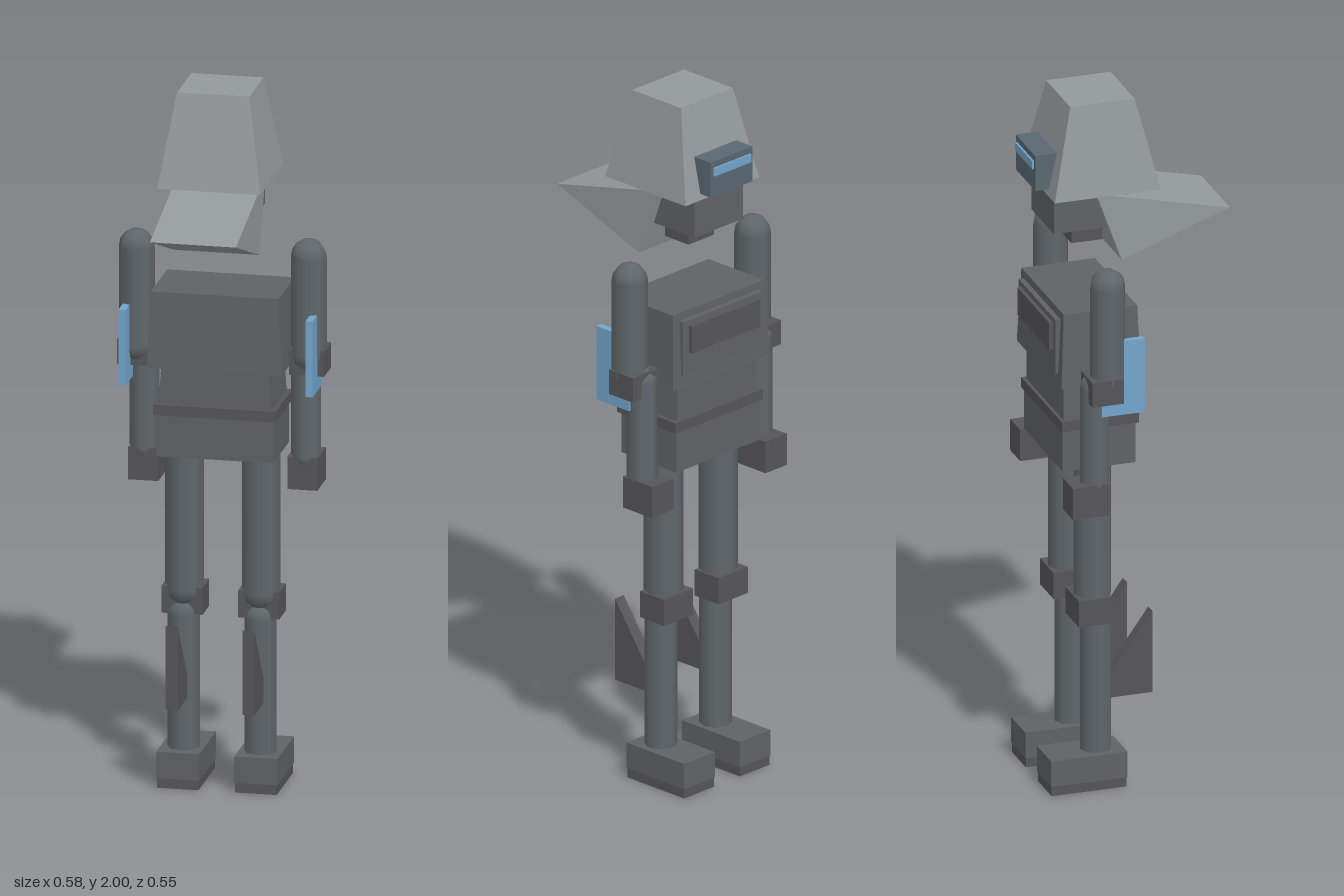
import * as THREE from 'three';

const paint = (color, flatShading = false) => new THREE.MeshStandardMaterial({ color, flatShading });

export function createModel() {
  const model = new THREE.Group();
  const light = paint(0x94999c, true);
  const body = paint(0x5f6265, true);
  const limb = paint(0x5f666a);
  const joint = paint(0x56565a, true);
  const visorMat = paint(0x5a6872, true);
  const blue = paint(0x73a5cc, true);

  const add = (name, geometry, material) => {
    const mesh = new THREE.Mesh(geometry, material);
    mesh.name = name;
    model.add(mesh);
    return mesh;
  };

  // Box given by its limits on each axis
  const box = (name, [x0, x1], [y0, y1], [z0, z1], material) => {
    const g = new THREE.BoxGeometry(x1 - x0, y1 - y0, z1 - z0);
    g.translate((x0 + x1) / 2, (y0 + y1) / 2, (z0 + z1) / 2);
    return add(name, g, material);
  };

  // Centred box whose top has its own width and depth limits
  const taper = (name, [y0, y1], [w0, back0, front0], [w1, back1, front1], material) => {
    const g = new THREE.BoxGeometry(2, 2, 2);
    const p = g.attributes.position;
    for (let i = 0; i < p.count; i++) {
      const up = p.getY(i) > 0;
      const w = up ? w1 : w0;
      const z = p.getZ(i) > 0 ? (up ? front1 : front0) : (up ? back1 : back0);
      p.setXYZ(i, p.getX(i) * w, up ? y1 : y0, z);
    }
    g.computeVertexNormals();
    return add(name, g, material);
  };

  // Side outline of (z, y) points, extruded across x
  const slab = (name, points, x, halfWidth, material) => {
    const shape = new THREE.Shape(points.map(([z, y]) => new THREE.Vector2(z, y)));
    const g = new THREE.ExtrudeGeometry(shape, { depth: halfWidth * 2, bevelEnabled: false });
    g.translate(0, 0, -halfWidth).rotateY(-Math.PI / 2).translate(x, 0, 0);
    return add(name, g, material);
  };

  // Round-ended eight-sided limb
  const capsule = (name, x, z, r, y0, y1) => {
    const g = new THREE.CapsuleGeometry(r, y1 - y0 - 2 * r, 4, 8);
    g.translate(x, (y0 + y1) / 2, z);
    return add(name, g, limb);
  };

  // Head
  taper('helmet', [1.74, 2], [0.144, -0.236, 0.07], [0.101, -0.177, 0.009], light);
  slab('neckGuard', [[0.277, 1.65], [-0.108, 1.74], [-0.035, 1.537]], 0, 0.12, light);
  box('jaw', [-0.095, 0.095], [1.628, 1.745], [-0.222, -0.01], body);
  box('chin', [-0.05, 0.05], [1.575, 1.63], [-0.156, -0.066], joint);
  box('visor', [-0.082, 0.082], [1.757, 1.86], [-0.271, -0.19], visorMat);
  box('visorStrip', [-0.072, 0.072], [1.818, 1.842], [-0.277, -0.26], blue);

  // Torso
  taper('chest', [1.205, 1.422], [0.188, -0.232, -0.002], [0.178, -0.222, -0.01], body);
  box('chestPlate', [-0.155, 0.155], [1.24, 1.4], [-0.238, -0.2], body);
  box('chestPanel', [-0.133, 0.133], [1.305, 1.385], [-0.249, -0.22], joint);
  taper('waist', [1.1, 1.21], [0.157, -0.215, -0.01], [0.15, -0.213, -0.012], body);
  box('belt', [-0.171, 0.171], [1.072, 1.102], [-0.225, -0.002], joint);
  box('pelvis', [-0.163, 0.163], [0.953, 1.075], [-0.22, -0.01], body);

  for (const s of [-1, 1]) {
    const side = s > 0 ? 'left' : 'right';
    const span = (c, h) => [s * c - h, s * c + h];

    // Arms
    capsule(side + 'UpperArm', s * 0.24, -0.117, 0.05, 1.19, 1.567);
    box(side + 'Elbow', span(0.24, 0.049), [1.185, 1.257], [-0.177, -0.086], joint);
    capsule(side + 'Forearm', s * 0.225, -0.149, 0.042, 0.9, 1.262);
    box(side + 'Hand', span(0.222, 0.042), [0.85, 0.942], [-0.225, -0.115], joint);
    box(side + 'ArmShield', span(0.261, 0.01), [1.145, 1.361], [-0.144, -0.02], blue);

    // Legs
    capsule(side + 'Thigh', s * 0.107, -0.116, 0.054, 0.5, 1.03);
    box(side + 'Knee', span(0.107, 0.057), [0.486, 0.563], [-0.173, -0.082], joint);
    capsule(side + 'Shin', s * 0.107, -0.106, 0.045, 0.05, 0.528);
    slab(side + 'CalfFin', [[0.052, 0.49], [0.052, 0.25], [-0.09, 0.25], [-0.09, 0.29]],
      s * 0.107, 0.017, joint);
    box(side + 'Foot', span(0.109, 0.06), [0.028, 0.103], [-0.255, -0.035], body);
    box(side + 'Sole', span(0.109, 0.058), [0, 0.028], [-0.253, -0.037], joint);
  }
  return model;
}
